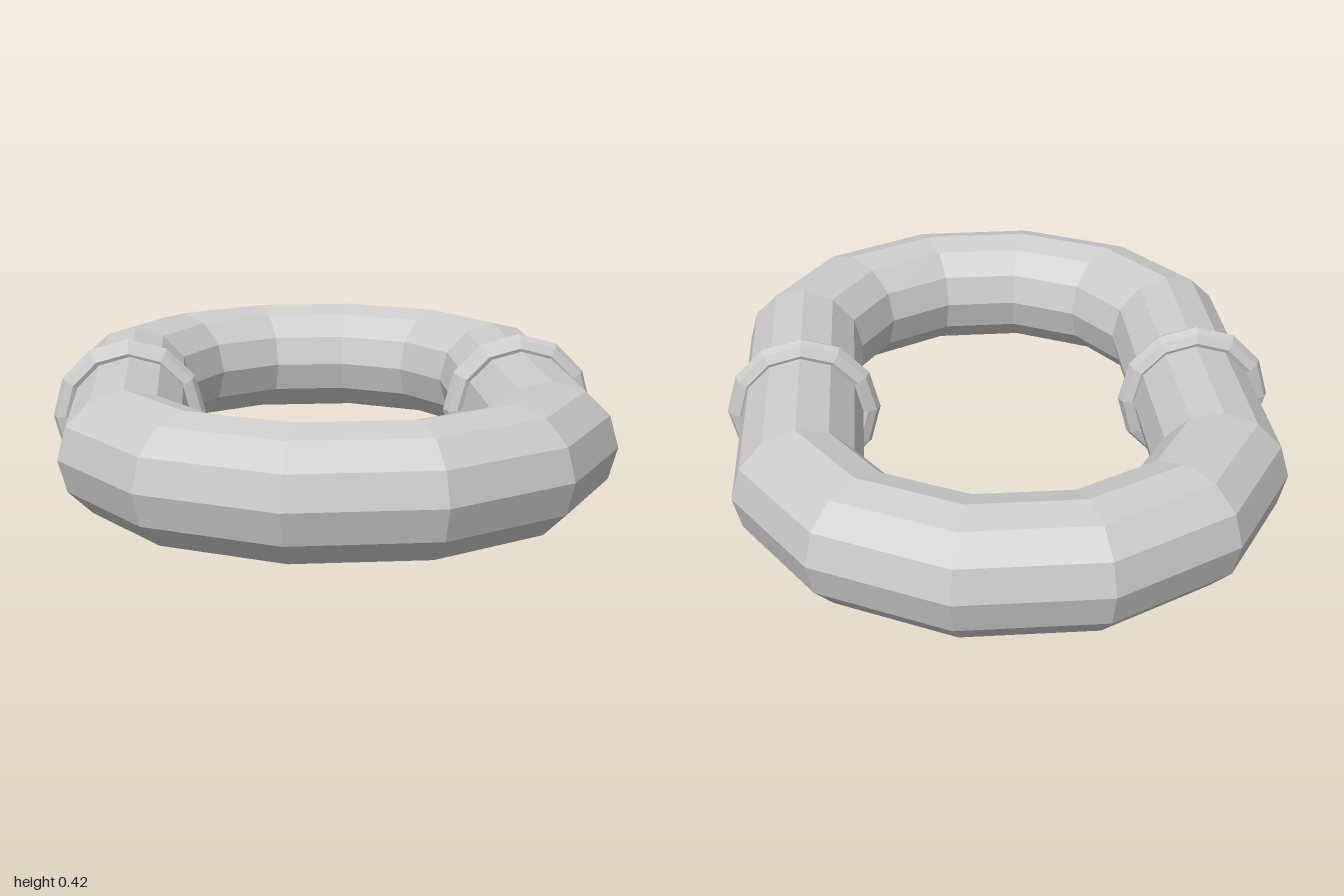
import * as THREE from 'three';

const SIDES = 12;        // sides of the tube and of the collars
const CENTRE_Y = 0.212;  // height of the link's middle plane
const BEND_R = 0.56;     // centreline radius of the end bends
const BEND_Z = 0.295;    // centre of each end bend
const TUBE_R = 0.166;

// Closed oval tube: two six-point bends joined by straight sides, mitred at each joint
function linkGeometry() {
  const positions = [];
  const index = [];
  const joints = 12;
  for (let i = 0; i < joints; i++) {
    const front = i < 6;
    const angle = THREE.MathUtils.degToRad(15 + 30 * i) - (front ? 0.02 : 0.01);
    const z0 = front ? BEND_Z : -BEND_Z;
    for (let j = 0; j < SIDES; j++) {
      const s = (j / SIDES) * Math.PI * 2;
      const r = BEND_R + (TUBE_R / Math.cos(Math.PI / 12)) * Math.cos(s);
      positions.push(
        0.003 + Math.cos(angle) * r,
        CENTRE_Y + TUBE_R * Math.sin(s),
        z0 + Math.sin(angle) * r
      );
      const i2 = (i + 1) % joints;
      const j2 = (j + 1) % SIDES;
      const a = i * SIDES + j, b = i * SIDES + j2;
      const c = i2 * SIDES + j2, d = i2 * SIDES + j;
      index.push(a, b, d, b, c, d);
    }
  }
  const geometry = new THREE.BufferGeometry();
  geometry.setAttribute('position', new THREE.Float32BufferAttribute(positions, 3));
  geometry.setIndex(index);
  geometry.computeVertexNormals();
  return geometry;
}

export function createModel() {
  const group = new THREE.Group();
  group.name = 'chainLink';
  const material = new THREE.MeshStandardMaterial({ color: 0xcccccc, flatShading: true });

  const link = new THREE.Mesh(linkGeometry(), material);
  link.name = 'ovalTube';
  group.add(link);

  // Thin collar around the middle of each straight side
  const collarGeometry = new THREE.TorusGeometry(0.175, 0.035, 8, SIDES);
  for (const side of [1, -1]) {
    const collar = new THREE.Mesh(collarGeometry, material);
    collar.name = side > 0 ? 'leftCollar' : 'rightCollar';
    collar.position.set(side * 0.541, CENTRE_Y, -0.005);
    group.add(collar);
  }
  return group;
}
